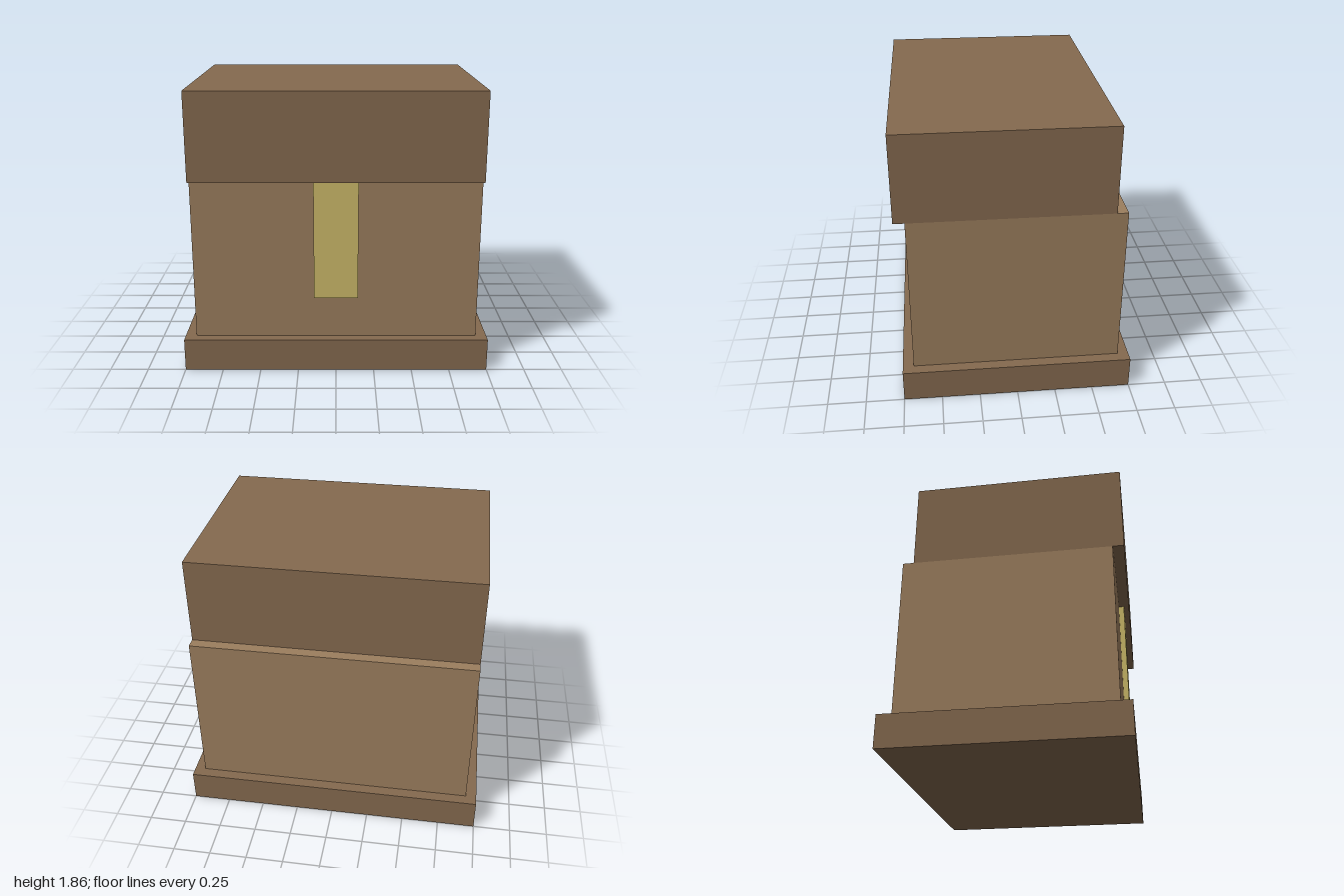
import * as THREE from 'three';

// All dimensions are whole units on a 28-unit-wide block grid.
const U = 2 / 28;

function block(name, color, [x0, x1], [y0, y1], [z0, z1]) {
  const geometry = new THREE.BoxGeometry((x1 - x0) * U, (y1 - y0) * U, (z1 - z0) * U);
  const mesh = new THREE.Mesh(geometry, new THREE.MeshStandardMaterial({ color, flatShading: true }));
  mesh.name = name;
  mesh.position.set((x0 + x1) / 2 * U, (y0 + y1) / 2 * U, (z0 + z1) / 2 * U);
  return mesh;
}

export function createModel() {
  const group = new THREE.Group();
  group.name = 'chest';
  const dark = 0x856a4f, light = 0x9c7e5e, brass = 0xcdbb6a;
  group.add(
    // wide plinth
    block('base', dark, [-14, 14], [0, 3], [-10.5, 10.5]),
    // main box
    block('body', light, [-13, 13], [3, 18], [-9.5, 9.5]),
    // lid, shifted one unit towards the front
    block('lid', dark, [-13, 13], [18, 26], [-8.5, 10.5]),
    // thin plate on the front, hanging from under the lid
    block('latch', brass, [-2, 2], [7, 18], [9.5, 10]),
  );
  return group;
}
